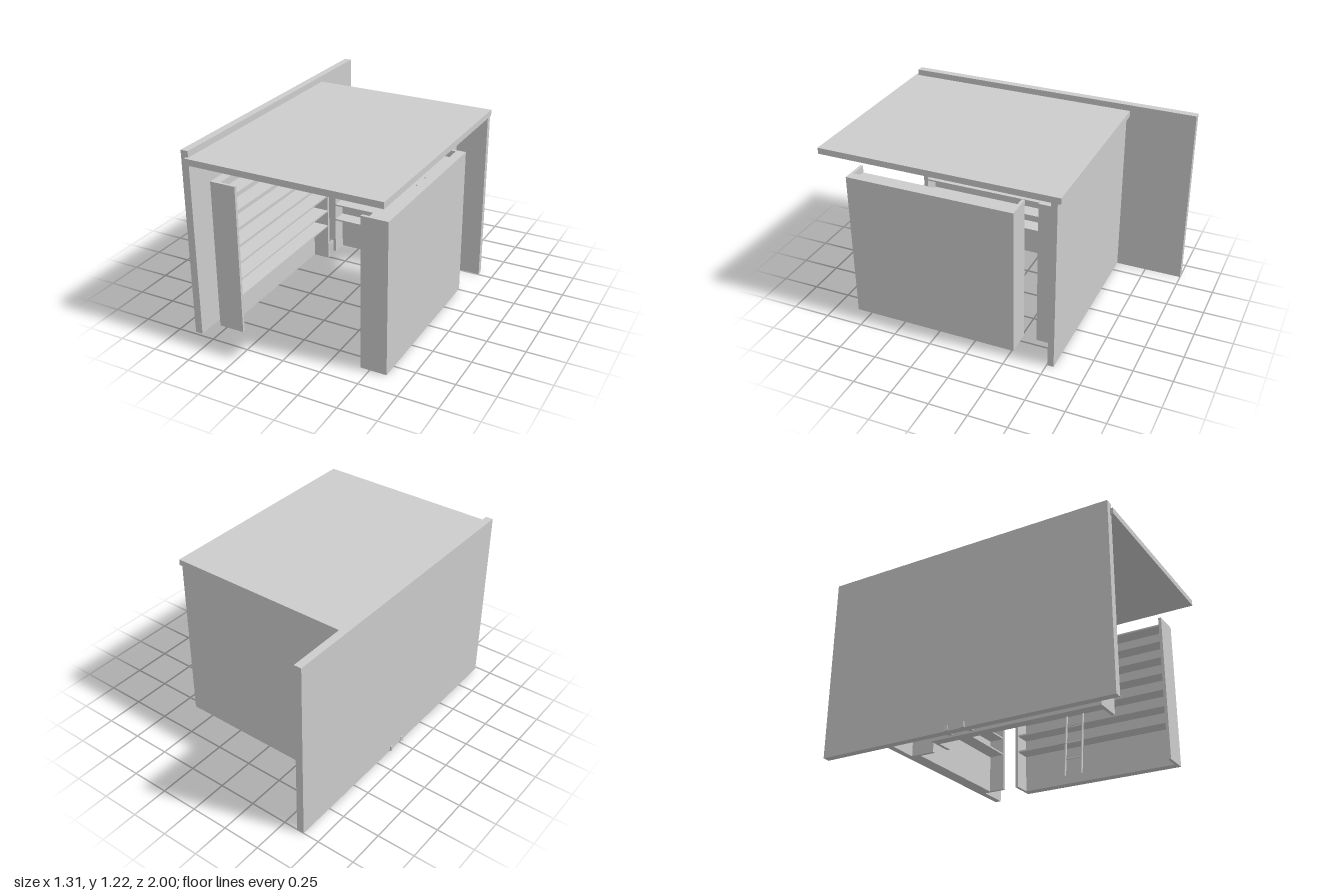
import * as THREE from 'three';

const grey = new THREE.MeshStandardMaterial({ color: 0xcccccc });
grey.name = 'pale grey';

// Box given by its minimum and maximum corners
function box(parent, name, x0, x1, y0, y1, z0, z1) {
  const mesh = new THREE.Mesh(new THREE.BoxGeometry(x1 - x0, y1 - y0, z1 - z0), grey);
  mesh.position.set((x0 + x1) / 2, (y0 + y1) / 2, (z0 + z1) / 2);
  mesh.name = name;
  parent.add(mesh);
  return mesh;
}

// Thin round bar between two points
function bar(parent, name, a, b, r) {
  const path = new THREE.LineCurve3(new THREE.Vector3(...a), new THREE.Vector3(...b));
  const mesh = new THREE.Mesh(new THREE.TubeGeometry(path, 1, r, 8), grey);
  mesh.name = name;
  parent.add(mesh);
}

// Shelf unit: back panel at local z = 0, opening toward local +z
function shelfUnit(name, width, depth, backDepth) {
  const unit = new THREE.Group();
  unit.name = name;
  const h = 0.99, t = 0.02, w = width / 2;
  box(unit, 'backPanel', -w + t, w - t, 0, h, 0, backDepth);
  for (const s of [-1, 1]) {
    const x = s * (w - t / 2);
    box(unit, 'endPanel', x - t / 2, x + t / 2, 0, h, 0, depth);
  }
  for (let i = 0; i < 7; i++) {
    const y = 0.245 + i * 0.1147;
    box(unit, 'shelf', -w + t, w - t, y, y + 0.011, backDepth, depth - 0.003);
  }
  return unit;
}

export function createModel() {
  const model = new THREE.Group();
  model.name = 'shelvedRoom';

  // Shell
  box(model, 'longWall', -0.643, -0.594, 0, 1.22, -1, 0.98);
  box(model, 'backWall', -0.594, 0.655, 0, 1.14, -0.545, -0.505);
  box(model, 'roof', -0.61, 0.655, 1.14, 1.18, -0.565, 1);

  // Two facing side units and one against the back wall
  for (const s of [-1, 1]) {
    const side = shelfUnit(s < 0 ? 'rightShelfUnit' : 'leftShelfUnit', 1.11, 0.17, 0.06);
    side.rotation.y = -s * Math.PI / 2;
    side.position.set(0.03 + s * 0.58, 0, 0.295);
    model.add(side);
  }
  const back = shelfUnit('backShelfUnit', 0.85, 0.155, 0.05);
  back.position.set(0.025, 0, -0.505);
  model.add(back);

  // Ladder leaning on the left unit
  const ladder = new THREE.Group();
  ladder.name = 'ladder';
  const railX = y => 0.405 + y * 0.11;
  for (const z of [0.13, 0.25]) {
    bar(ladder, 'ladderRail', [railX(0), 0.001, z], [railX(0.95), 0.95, z], 0.008);
  }
  for (let y = 0.12; y < 0.9; y += 0.115) {
    bar(ladder, 'ladderRung', [railX(y), y, 0.13], [railX(y), y, 0.25], 0.005);
  }
  model.add(ladder);

  // Small pair of shoes at the foot of the long wall
  for (const [z, turn] of [[-0.1, 0.25], [0.03, -0.25]]) {
    const shoe = new THREE.Group();
    shoe.name = 'shoe';
    box(shoe, 'shoeSole', -0.04, 0.04, 0, 0.006, -0.014, 0.014);
    box(shoe, 'shoeToe', -0.037, 0.01, 0.006, 0.035, -0.011, 0.011);
    box(shoe, 'shoeAnkle', 0.01, 0.037, 0.006, 0.09, -0.011, 0.011);
    shoe.position.set(-0.613, 0, z);
    shoe.rotation.y = turn;
    model.add(shoe);
  }
  return model;
}
